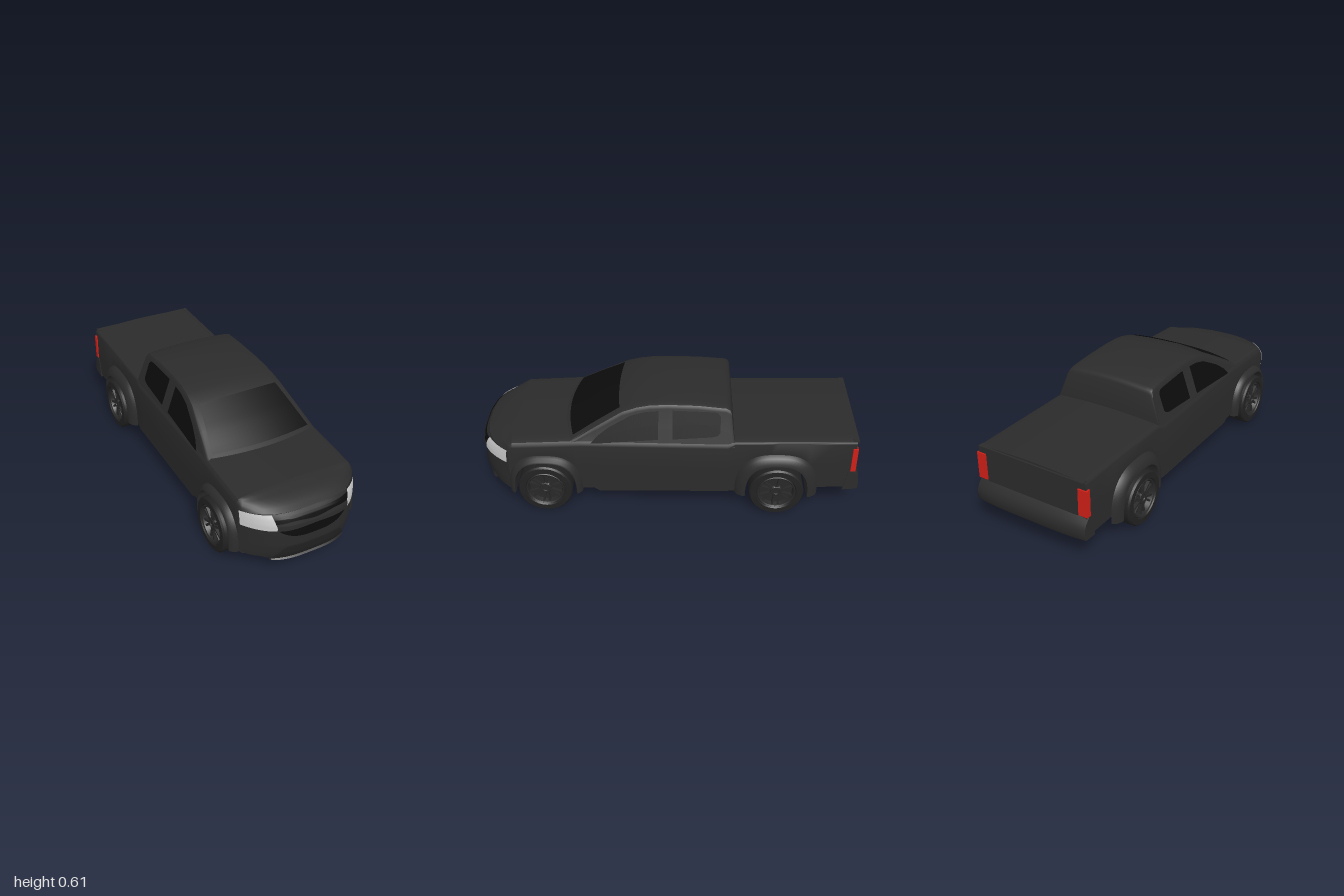
import * as THREE from 'three';
import { toCreasedNormals } from 'three/addons/utils/BufferGeometryUtils.js';

const mat = (color) => new THREE.MeshStandardMaterial({ color, side: THREE.DoubleSide });
const paint = mat(0x2b2b2b), trim = mat(0x242424), glass = mat(0x0c0c0c);
const rubber = mat(0x222222), rimMat = mat(0x282828), lamp = mat(0xcccccc), red = mat(0xd02018);
const { lerp, clamp } = THREE.MathUtils;

// Piecewise-linear lookup in a table of [key, value], keys ascending
function interp(table, k) {
  for (let i = 1; i < table.length; i++) {
    const [k0, v0] = table[i - 1], [k1, v1] = table[i];
    if (k <= k1) return lerp(v0, v1, clamp((k - k0) / (k1 - k0), 0, 1));
  }
  return table[table.length - 1][1];
}

// Surface from rows of [x, y, z] points
function surface(name, rows, material, crease = 0.6) {
  const n = rows[0].length, index = [];
  for (let j = 0; j < rows.length - 1; j++)
    for (let i = 0; i < n - 1; i++) {
      const a = j * n + i, d = a + n;
      index.push(a, a + 1, d, a + 1, d + 1, d);
    }
  const geo = new THREE.BufferGeometry();
  geo.setAttribute('position', new THREE.Float32BufferAttribute(rows.flat(2), 3));
  geo.setIndex(index);
  const mesh = new THREE.Mesh(toCreasedNormals(geo, crease), material);
  mesh.name = name;
  return mesh;
}
const patch = (name, nu, nv, fn, material) => surface(name,
  Array.from({ length: nv + 1 }, (_, j) => Array.from({ length: nu + 1 }, (_, i) => fn(i / nu, j / nv))), material);

// Closes a row of points towards its centre
function capRow(row) {
  const c = [0, 1, 2].map((k) => row.reduce((s, p) => s + p[k], 0) / row.length);
  return row.map(() => c);
}

// Body section: flat floor, sides, rounded shoulder and crowned top
const CROWN = 0.012;
function section(wb, wt, b, T, c) {
  const e = T - CROWN, flat = wt - c;
  const half = [[0, b], [wb * 0.5, b], [wb - 0.015, b], [wb - 0.003, b + 0.01],
    [lerp(wb, wt, 0.5), lerp(b, e - c, 0.5)], [wt, e - c], [wt - 0.12 * c, e - 0.6 * c], [wt - 0.4 * c, e - 0.2 * c]];
  for (let i = 8; i >= 0; i--) half.push([flat * i / 8, T - CROWN * (i / 8) ** 2]);
  return half.concat(half.slice(0, -1).reverse().map(([x, y]) => [-x, y]));
}

// The nose is rounded in plan
function warpNose(x, z) {
  return z - 0.17 * Math.min(Math.abs(x) / 0.32, 1) ** 3.2 * clamp((z - 0.8) / 0.19, 0, 1);
}
const warpCab = (x, z) => z - 0.5 * x * x * clamp(z / 0.5, 0, 1);

const bodyTop = [[-0.96, 0.442], [-0.33, 0.432], [0.45, 0.432], [0.8, 0.411], [0.9, 0.39], [0.96, 0.365]];
const bodyWidth = [[-0.96, 0.313], [-0.34, 0.315], [-0.3, 0.322], [0.5, 0.322], [0.8, 0.32], [0.96, 0.318]];
const bodyRound = [[-0.96, 0.012], [-0.34, 0.014], [-0.3, 0.035], [0.8, 0.03], [0.96, 0.008]];
const wheels = { front: 0.64, rear: -0.56 };

// Squarish wheel arch point: [z offset, height above the sill]
function arch(t, a, h) {
  const c = Math.cos(t), s = Math.max(Math.sin(t), 0);
  return [Math.sign(c) * Math.abs(c) ** 0.75 * a, s ** 0.75 * h];
}
function archStations(zc) {
  return Array.from({ length: 25 }, (_, i) => {
    const [dz, dy] = arch(Math.PI * (1 - i / 24), 0.16, 0.19);
    return [zc + dz, 0.105 + dy];
  });
}

function makeBody() {
  const stations = [[-0.955, 0.135], [-0.85, 0.133], [-0.722, 0.13], ...archStations(wheels.rear),
    [-0.37, 0.1], [-0.34, 0.1], [-0.3, 0.1], [0, 0.097], [0.3, 0.093], [0.36, 0.092], [0.39, 0.11], [0.45, 0.11],
    ...archStations(wheels.front), [0.83, 0.105], [0.86, 0.1], [0.9, 0.1], [0.93, 0.1], [0.96, 0.1]];
  const rows = stations.map(([z, b]) => {
    const w = interp(bodyWidth, z);
    return section(w, w - 0.005, b, interp(bodyTop, z), interp(bodyRound, z)).map(([x, y]) => [x, y, warpNose(x, z)]);
  });
  return surface('body', [capRow(rows[0]), ...rows], paint);
}

// Cab with sloping windscreen
const cabTop = [[-0.336, 0.42], [-0.317, 0.575], [-0.308, 0.59], [-0.29, 0.599], [-0.15, 0.611], [0, 0.614], [0.1, 0.61],
  [0.17, 0.599], [0.25, 0.577], [0.4, 0.502], [0.53, 0.433], [0.58, 0.41]];
const cabX = (y) => 0.313 - (y - 0.39) * 0.348;
function makeCab() {
  const rows = cabTop.map(([z, T]) => {
    const c = Math.min(0.022, (T - 0.38) * 0.3);
    return section(cabX(0.38), cabX(T - CROWN - c), 0.38, T, c).map(([x, y]) => [x, y, warpCab(x, z)]);
  });
  return surface('cab', [capRow(rows[0]), ...rows], paint);
}

// Front fascia and everything lying on it
const noseZ = [[0.085, 0.95], [0.1, 0.962], [0.13, 0.975], [0.18, 0.987], [0.25, 0.99], [0.31, 0.988], [0.34, 0.978], [0.365, 0.96]];
const onNose = (x, y, lift = 0) => [x, y, warpNose(x, interp(noseZ, y)) + lift];
function nosePatch(name, x0, x1, bottom, top, lift, material) {
  return patch(name, 32, 10, (u, v) => {
    const x = lerp(x0, x1, u);
    return onNose(x, lerp(bottom(x), top(x), v), lift);
  }, material);
}
function makeNose() {
  const g = new THREE.Group();
  g.name = 'nose';
  g.add(patch('frontBumper', 64, 30, (u, v) => {
    const x = (u * 2 - 1) * 0.317;
    const low = 0.088 + 0.017 * clamp((Math.abs(x) - 0.19) / 0.04, 0, 1);
    return onNose(x, lerp(low, 0.365 - CROWN * (x / 0.32) ** 2, v));
  }, paint));
  g.add(nosePatch('upperGrille', -0.203, 0.203, (x) => 0.321 - 0.004 * Math.cos(x * 30), () => 0.351, 0.005, glass));
  g.add(nosePatch('grilleBar', -0.19, 0.19, (x) => 0.287 + 0.004 * Math.cos(x * 16), (x) => 0.321 - 0.004 * Math.cos(x * 30), 0.01, paint));
  g.add(nosePatch('lowerGrille', -0.186, 0.186, (x) => 0.232 + 0.05 * Math.abs(x / 0.186) ** 3, () => 0.288, 0.005, glass));
  g.add(nosePatch('skidPlate', -0.2, 0.2, () => 0.098,
    (x) => interp([[0, 0.187], [0.13, 0.187], [0.155, 0.175], [0.2, 0.105]], Math.abs(x)), 0.008, trim));
  g.add(patch('frontLip', 24, 4, (u, v) => {
    const x = (u * 2 - 1) * 0.2, [z, y] = [[0.9, 0.1], [0.92, 0.086], [0.965, 0.086], [0.978, 0.093], [0.97, 0.1]][Math.round(v * 4)];
    return [x, y, warpNose(x, z)];
  }, trim));
  for (const s of [-1, 1])
    g.add(patch('headlight', 24, 8, (u, v) => {
      const x = lerp(lerp(0.183, 0.205, v), lerp(0.313, 0.3165, v), u);
      const y = lerp(lerp(0.281, 0.277, u), lerp(0.36, 0.356, u), v);
      return onNose(s * x, y, 0.006);
    }, lamp));
  return g;
}

function makeWindows() {
  const g = new THREE.Group();
  g.name = 'windows';
  g.add(patch('windscreen', 24, 12, (u, v) => {
    const z = lerp(0.262, 0.525, v), x = (u * 2 - 1) * lerp(0.218, 0.272, v);
    const T = interp(cabTop, z), c = 0.02;
    return [x, T - CROWN * (x / (cabX(T - CROWN - c) - c)) ** 2 + 0.005, warpCab(x, z)];
  }, glass));
  const panes = [
    ['frontDoorWindow', 0.052, 0.395, [[0.05, 0.427], [0.395, 0.402]], [[0.052, 0.57], [0.12, 0.564], [0.19, 0.546], [0.3, 0.488], [0.36, 0.444], [0.395, 0.405]]],
    ['rearDoorWindow', -0.262, -0.02, [[-0.262, 0.465], [-0.25, 0.45], [-0.22, 0.443], [-0.02, 0.43]], [[-0.262, 0.545], [-0.25, 0.563], [-0.23, 0.567], [-0.02, 0.573]]],
  ];
  for (const s of [-1, 1])
    for (const [name, z0, z1, low, high] of panes)
      g.add(patch(name, 28, 2, (u, v) => {
        const z = lerp(z0, z1, u), y = lerp(interp(low, z), interp(high, z), v);
        return [s * (cabX(y) + 0.003), y, z];
      }, glass));
  return g;
}

// Wheel-arch flare: a raised band following the arch
function makeFlare(s, zc, extra) {
  const profile = [[extra, 0.314], [extra * 0.8, 0.334], [extra * 0.35, 0.349], [0.003, 0.351], [0, 0.345], [0, 0.3]];
  return surface('wheelArchFlare', profile.map(([d, x]) => Array.from({ length: 33 }, (_, i) => {
    const [dz, dy] = arch(Math.PI * i / 32, 0.16 + d, 0.19 + d);
    return [s * x, 0.105 + dy, zc + dz];
  })), paint);
}

// Wheel facing +x
function makeWheel(name) {
  const g = new THREE.Group();
  g.name = name;
  const lathe = (part, pts, material) => {
    const geo = new THREE.LatheGeometry(pts.map(([r, x]) => new THREE.Vector2(r, x)), 40).rotateZ(-Math.PI / 2);
    const m = new THREE.Mesh(toCreasedNormals(geo, 0.5), material);
    m.name = part;
    g.add(m);
  };
  lathe('tyre', [[0, -0.056], [0.134, -0.056], [0.141, -0.05], [0.141, 0.046], [0.134, 0.055], [0.105, 0.057], [0.1, 0.05]], rubber);
  lathe('rim', [[0.1, 0.05], [0.096, 0.054], [0.09, 0.05], [0.084, 0.025], [0, 0.022]], rimMat);
  lathe('hub', [[0.034, 0.022], [0.034, 0.04], [0.028, 0.046], [0.018, 0.046], [0.016, 0.042], [0, 0.042]], rimMat);
  for (let i = 0; i < 12; i++) {
    const a = (Math.floor(i / 2) + (i % 2 ? 0.17 : -0.17)) * Math.PI / 3;
    const spoke = new THREE.Mesh(new THREE.BoxGeometry(0.016, 0.066, 0.011), rimMat);
    spoke.name = 'spoke';
    spoke.position.set(0.036, 0.06 * Math.cos(a), 0.06 * Math.sin(a));
    spoke.rotation.x = a;
    g.add(spoke);
  }
  return g;
}

function makeRear() {
  const g = new THREE.Group();
  g.name = 'rear';
  const profile = [[-0.94, 0.25], [-0.962, 0.247], [-0.985, 0.222], [-0.998, 0.195], [-1, 0.15], [-0.992, 0.137], [-0.92, 0.13], [-0.94, 0.25]];
  const rows = Array.from({ length: 17 }, (_, i) => {
    const x = (i / 8 - 1) * 0.315;
    return profile.map(([z, y]) => [x, y, z + 0.014 * (x / 0.315) ** 4]);
  });
  g.add(surface('rearBumper', [capRow(rows[0]), ...rows, capRow(rows[16])], paint));
  // Tailgate and top lip
  const gate = new THREE.Mesh(new THREE.BoxGeometry(0.52, 0.175, 0.012), paint);
  gate.name = 'tailgate';
  gate.position.set(0, 0.335, -0.955);
  const lip = new THREE.Mesh(new THREE.BoxGeometry(0.6, 0.012, 0.03), paint);
  lip.name = 'tailgateLip';
  lip.position.set(0, 0.427, -0.95);
  g.add(gate, lip);
  for (const s of [-1, 1]) {
    const light = new THREE.Mesh(new THREE.BoxGeometry(0.05, 0.14, 0.026), red);
    light.name = 'tailLight';
    light.position.set(s * 0.2915, 0.322, -0.949);
    g.add(light);
  }
  return g;
}

export function createModel() {
  const truck = new THREE.Group();
  truck.name = 'pickupTruck';
  truck.add(makeBody(), makeCab(), makeNose(), makeWindows(), makeRear());
  for (const [end, z] of Object.entries(wheels))
    for (const s of [-1, 1]) {
      const wheel = makeWheel(end + 'Wheel');
      wheel.position.set(s * 0.309, 0.141, z);
      if (s < 0) wheel.rotation.y = Math.PI;
      truck.add(wheel, makeFlare(s, z, end === 'front' ? 0.032 : 0.055));
    }
  return truck;
}
